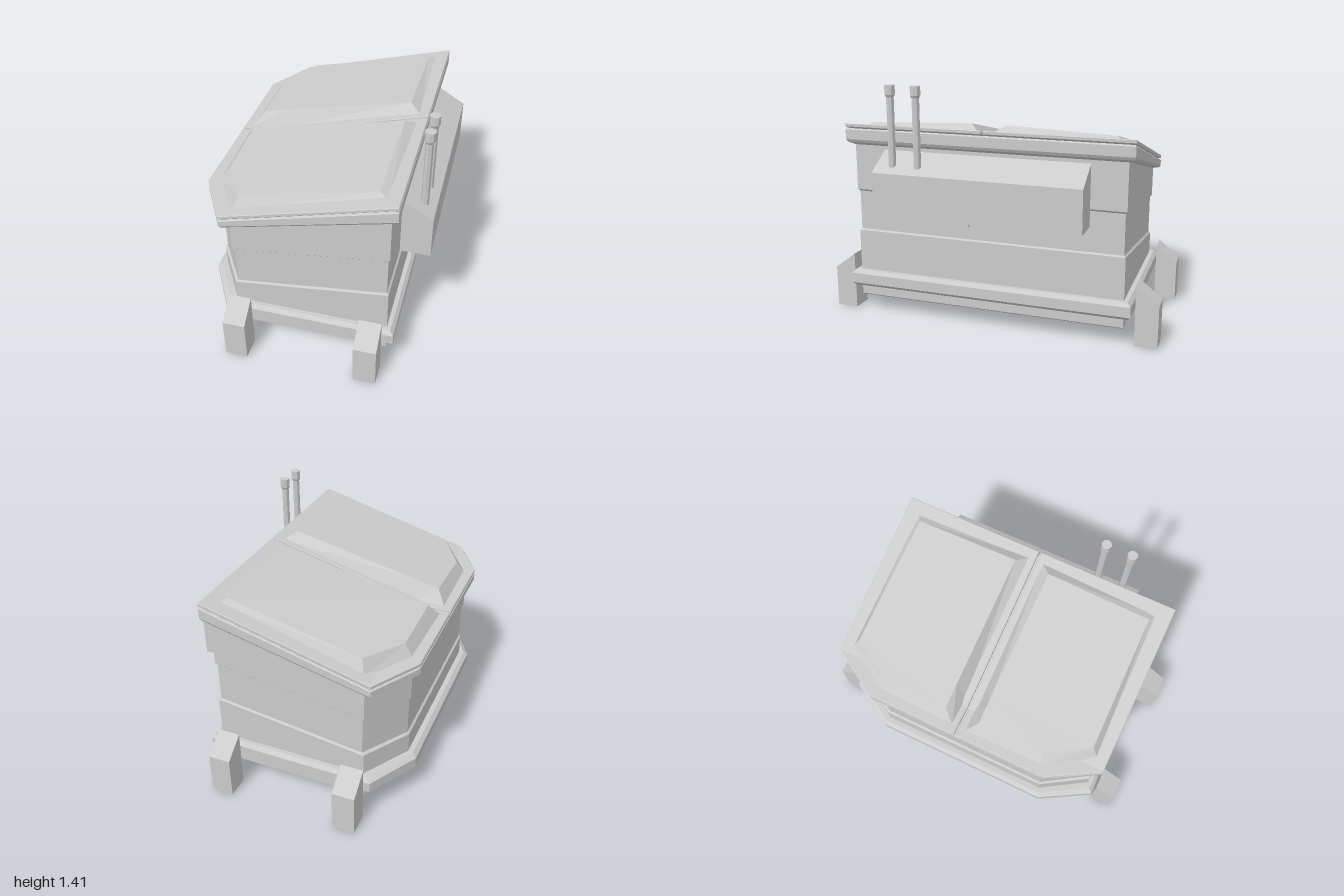
import * as THREE from 'three';

const material = new THREE.MeshStandardMaterial({ color: 0xcccccc, flatShading: true });

// Closed solid through rings of points; rings run bottom to top, counter-clockwise from above.
function loft(name, rings) {
  const pos = [];
  const quad = (a, b, c, d) => pos.push(...a, ...b, ...c, ...a, ...c, ...d);
  const n = rings[0].length;
  for (let r = 0; r < rings.length - 1; r++) {
    for (let i = 0; i < n; i++) {
      const j = (i + 1) % n;
      quad(rings[r][i], rings[r][j], rings[r + 1][j], rings[r + 1][i]);
    }
  }
  const first = rings[0], last = rings[rings.length - 1];
  for (let i = 0; i < n / 2 - 1; i++) {
    quad(last[i], last[i + 1], last[n - 2 - i], last[n - 1 - i]);
    quad(first[n - 1 - i], first[n - 2 - i], first[i + 1], first[i]);
  }
  const geometry = new THREE.BufferGeometry();
  geometry.setAttribute('position', new THREE.Float32BufferAttribute(pos, 3));
  geometry.computeVertexNormals();
  return mesh(name, geometry);
}

function mesh(name, geometry) {
  const m = new THREE.Mesh(geometry, material);
  m.name = name;
  return m;
}

const mirrorZ = rings => rings.map(r => r.map(([x, y, z]) => [x, y, -z]).reverse());

// Height along the slope: level over the cut corners, then rising to the tall side
const slope = (x, low, high) => low + (high - low) * Math.max(0, (x + 0.45) / 0.94);

// Plan outline grown by o; z0 replaces the far half to make a half outline
function outline(o, low, high, z0) {
  const b = 0.46 + o, w = 0.81 + o, c = 0.43 + 1.2 * o, a = 0.6 + 1.2 * o, d = 0.54 + 0.5 * o;
  const half = z0 !== undefined;
  return [
    [b, half ? z0 : -w], [-c, half ? z0 : -w], [-a, half ? z0 : -d],
    [-a, d], [-c, w], [b, w],
  ].map(([x, z]) => [x, slope(x, low, high), z]);
}

const rect = (x0, x1, z0, z1, yOf) =>
  [[x1, z0], [x0, z0], [x0, z1], [x1, z1]].map(([x, z]) => [x, yOf(x, z), z]);

// Box open at the bottom, with a sloped top
function hollowBox(x0, x1, z0, z1, y0, wall, ceiling, top) {
  const inner = [x0 + wall, x1 - wall, z0 + wall, z1 - wall];
  return [
    rect(...inner, () => ceiling),
    rect(...inner, () => y0),
    rect(x0, x1, z0, z1, () => y0),
    rect(x0, x1, z0, z1, top),
  ];
}

export function createModel() {
  const model = new THREE.Group();
  model.name = 'wasteContainer';

  // Body: base, bumper rail, recessed middle band, flared rim
  const levels = [
    [-0.008, 0.1, 0.1], [0, 0.108, 0.108], [0, 0.17, 0.17],
    [0.025, 0.17, 0.17], [0.045, 0.19, 0.19], [0.045, 0.25, 0.25], [0.025, 0.27, 0.27], [0, 0.27, 0.27],
    [0, 0.395, 0.52], [-0.01, 0.405, 0.53], [-0.01, 0.638, 0.765], [0, 0.648, 0.775],
    [0, 0.825, 1.05], [0.03, 0.828, 1.06], [0.04, 0.838, 1.075],
    [0.04, 0.873, 1.132], [0.032, 0.882, 1.142],
  ];
  model.add(loft('body', levels.map(l => outline(...l))));

  // Two lids, each a thin plate with a raised bevelled panel
  const plate = [
    outline(0.036, 0.886, 1.146, 0.006),
    outline(0.04, 0.89, 1.15, 0.006),
    outline(0.04, 0.905, 1.165, 0.006),
    outline(0.036, 0.909, 1.169, 0.01),
  ];
  const panel = [
    [[0.45, 0.04], [-0.42, 0.04], [-0.6, 0.04], [-0.59, 0.52], [-0.42, 0.79], [0.43, 0.765]]
      .map(([x, z]) => [x, slope(x, 0.902, 1.162), z]),
    [[0.38, 1.19, 0.105], [-0.39, 1.017, 0.105], [-0.54, 0.983, 0.105],
      [-0.54, 0.97, 0.5], [-0.39, 0.99, 0.745], [0.38, 1.165, 0.735]],
  ];
  for (const [side, fix] of [['front', r => r], ['back', mirrorZ]]) {
    model.add(loft(side + 'LidPlate', fix(plate)), loft(side + 'LidPanel', fix(panel)));
    // Feet: square tubes with slanted tops
    for (const [end, x0] of [['Right', -0.453], ['Left', 0.31]]) {
      const foot = hollowBox(x0, x0 + 0.131, 0.87, 1, 0, 0.03, 0.06,
        (x, z) => 0.35 - (z - 0.87) * 0.77);
      model.add(loft(side + end + 'Foot', fix(foot)));
    }
  }

  // Side housing, open underneath
  model.add(loft('sideHousing', hollowBox(0.475, 0.645, -0.61, 0.61, 0.675, 0.012, 0.9,
    x => 1.025 - (x - 0.475) * 0.6)));

  // Pull handle below the housing
  const handle = new THREE.Group();
  handle.name = 'pullHandle';
  const bar = mesh('handleBar', new THREE.BoxGeometry(0.02, 0.016, 0.455));
  bar.position.set(0.56, 0.644, 0.287);
  handle.add(bar);
  for (const z of [0.068, 0.506]) {
    const upright = mesh('handleUpright', new THREE.BoxGeometry(0.02, 0.26, 0.016));
    upright.position.set(0.56, 0.775, z);
    handle.add(upright);
  }
  model.add(handle);

  // Control levers with flared grips
  const profile = [[0, 0.9], [0.022, 0.9], [0.022, 1.345], [0.03, 1.36], [0.03, 1.412], [0, 1.412]]
    .map(p => new THREE.Vector2(...p));
  for (const z of [0.355, 0.51]) {
    const lever = mesh('controlLever', new THREE.LatheGeometry(profile, 8));
    lever.position.set(0.58, 0, z);
    model.add(lever);
  }
  return model;
}
